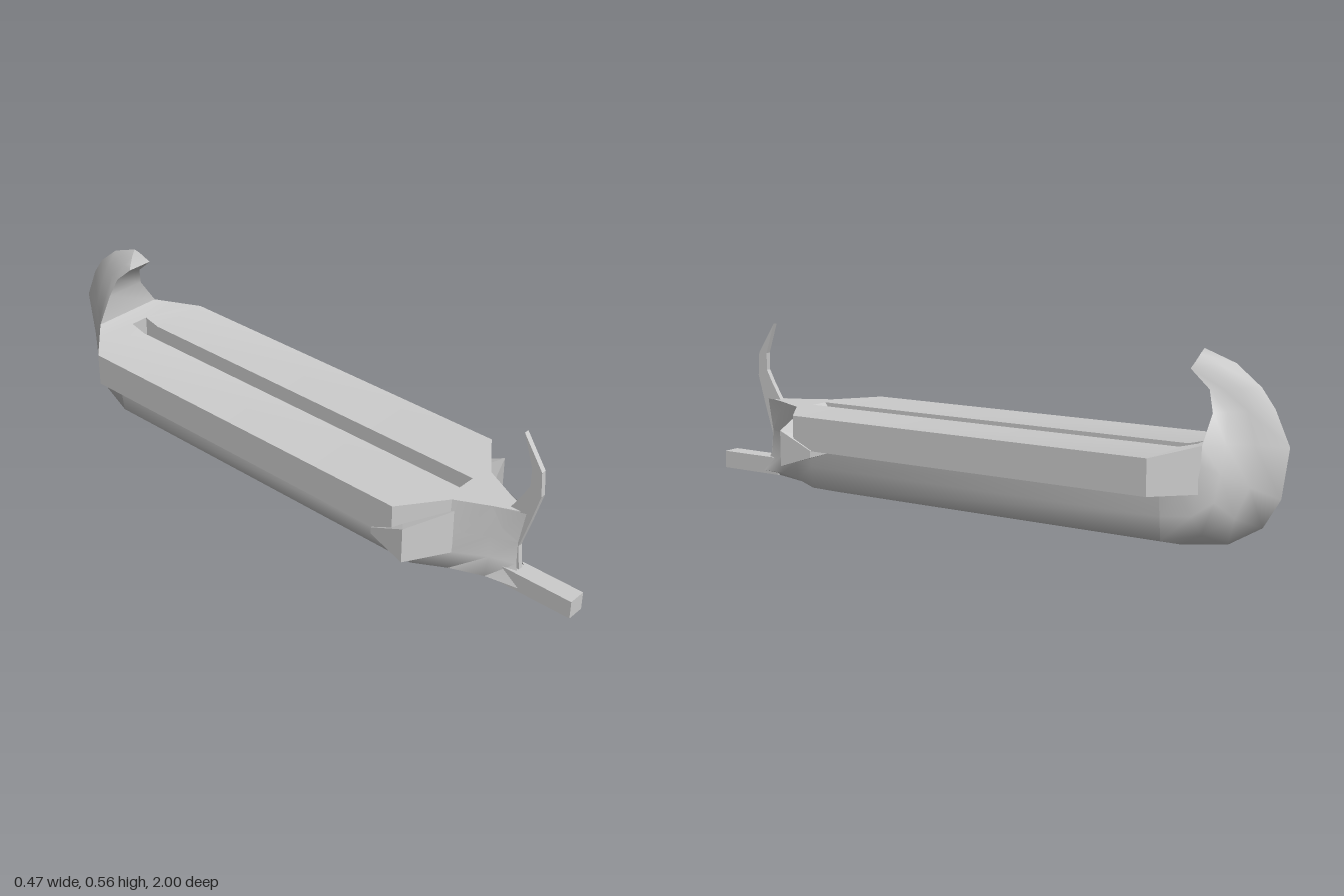
import * as THREE from 'three';
import { toCreasedNormals } from 'three/addons/utils/BufferGeometryUtils.js';
import { ConvexGeometry } from 'three/addons/geometries/ConvexGeometry.js';

const material = new THREE.MeshStandardMaterial({ color: 0xcccccc, side: THREE.DoubleSide });

// Skin between rows of [x, y, z] points; edges sharper than the crease angle stay hard
function loft(rows, crease) {
  const n = rows[0].length, index = [];
  for (let i = 0; i < rows.length - 1; i++) {
    for (let j = 0; j < n - 1; j++) {
      const a = i * n + j, b = a + 1, c = a + n, d = c + 1;
      index.push(a, b, c, b, d, c);
    }
  }
  const g = new THREE.BufferGeometry();
  g.setAttribute('position', new THREE.Float32BufferAttribute(rows.flat(2), 3));
  g.setIndex(index);
  return toCreasedNormals(g, crease);
}

// Half section from the +x edge to the keel, completed on the other side
const mirror = (half) => [
  ...half,
  ...half.slice(0, -1).reverse().map(([x, y, z]) => [-x, y, z]),
];

export function createModel() {
  const model = new THREE.Group();
  const add = (name, geometry) => {
    const mesh = new THREE.Mesh(geometry, material);
    mesh.name = name;
    model.add(mesh);
    return mesh;
  };

  // Hull from the hollow bow to the start of the stern
  const amid = (z) => [[0.15, 0.22, z], [0.15, 0.18, z], [0.143, 0.11, z], [0.135, 0.04, z], [0, 0, z]];
  add('hull', loft([
    [[0.008, 0.285, 0.82], [0.008, 0.18, 0.802], [0.012, 0.11, 0.805], [0.028, 0.045, 0.83], [0, 0.033, 0.83]],
    [[0.04, 0.285, 0.73], [0.036, 0.18, 0.73], [0.038, 0.11, 0.73], [0.052, 0.05, 0.73], [0, 0.022, 0.73]],
    [[0.09, 0.285, 0.63], [0.092, 0.18, 0.63], [0.097, 0.11, 0.63], [0.09, 0.048, 0.63], [0, 0.01, 0.63]],
    amid(0.53),
    amid(-0.69),
  ].map(mirror), 1.35));

  // Stern: sections swing up from the keel into the curled fin
  add('sternFin', loft([
    [[0.15, 0.18, -0.69], [0.143, 0.11, -0.69], [0.135, 0.04, -0.69], [0, 0, -0.69]],
    [[0.142, 0.18, -0.75], [0.132, 0.12, -0.78], [0.11, 0.065, -0.8], [0, 0.02, -0.83]],
    [[0.127, 0.2, -0.79], [0.11, 0.16, -0.835], [0.075, 0.115, -0.88], [0, 0.08, -0.93]],
    [[0.125, 0.26, -0.8], [0.095, 0.235, -0.845], [0.05, 0.2, -0.91], [0, 0.165, -0.98]],
    [[0.12, 0.313, -0.8], [0.075, 0.313, -0.85], [0.035, 0.312, -0.915], [0, 0.31, -1]],
    [[0.068, 0.395, -0.805], [0.048, 0.397, -0.84], [0.026, 0.402, -0.89], [0, 0.41, -0.955]],
    [[0.048, 0.455, -0.785], [0.038, 0.458, -0.82], [0.022, 0.46, -0.865], [0, 0.465, -0.915]],
    [[0.043, 0.507, -0.725], [0.036, 0.512, -0.76], [0.02, 0.52, -0.8], [0, 0.525, -0.84]],
    [[0.043, 0.507, -0.725], [0.03, 0.525, -0.733], [0.015, 0.545, -0.74], [0, 0.56, -0.745]],
  ].map(mirror), 2.4));

  // Forward face of the fin, and the flat end of its curl
  const finFace = [[0.12, 0.313, -0.8], [0.068, 0.395, -0.805], [0.048, 0.455, -0.785], [0.043, 0.507, -0.725]];
  add('finFace', loft(finFace.map(([x, y, z]) => [[-x, y, z], [x, y, z]]), 1));
  add('finTip', loft(
    [[0.043, 0.507, -0.725], [0.03, 0.525, -0.733], [0.015, 0.545, -0.74], [0, 0.56, -0.745]]
      .map(([x, y, z]) => [[-x, y, z], [x, y, z]]), 1));

  // Overhanging deck with a central trench: z, half width, top, trench floor
  const floor = 0.19;
  add('deck', loft([
    [0.8, 0.009, 0.285, 0.285],
    [0.73, 0.04, 0.285, 0.285],
    [0.63, 0.09, 0.285, 0.285],
    [0.61, 0.117, 0.285, 0.285],
    [0.53, 0.227, 0.285, floor],
    [-0.69, 0.227, 0.285, floor],
    [-0.745, 0.1735, 0.299, floor],
    [-0.7451, 0.1734, 0.299, 0.299],
    [-0.8, 0.12, 0.313, 0.313],
  ].map(([z, w, top, f]) => {
    const g = Math.min(0.03, w);
    return [[-w, 0.18], [-w, top], [-g, top], [-g, f], [g, f], [g, top], [w, top], [w, 0.18], [-w, 0.18]]
      .map(([x, y]) => [x, y, z]);
  }), 0.3));

  // Curved stem post, drawn in side profile (z, y)
  const post = new THREE.Shape([
    [0.77, 0.25], [0.768, 0.285], [0.8, 0.335], [0.824, 0.38], [0.824, 0.436], [0.791, 0.535],
    [0.856, 0.436], [0.861, 0.36], [0.834, 0.265], [0.804, 0.168], [0.813, 0.088], [0.78, 0.088],
  ].map(([z, y]) => new THREE.Vector2(z, y)));
  const postGeometry = new THREE.ExtrudeGeometry(post, { depth: 0.016, bevelEnabled: false });
  postGeometry.translate(0, 0, -0.008).rotateY(-Math.PI / 2);
  add('stemPost', postGeometry);

  // Ram
  const ram = add('ram', new THREE.BoxGeometry(0.057, 0.057, 0.23));
  ram.position.set(0, 0.063, 0.885);

  // Wedge-shaped blocks on both bows
  for (const [side, name] of [[1, 'leftBowBlock'], [-1, 'rightBowBlock']]) {
    add(name, new ConvexGeometry([
      [0.09, 0.108, 0.64], [0.09, 0.25, 0.64], [0.236, 0.122, 0.575], [0.236, 0.235, 0.575],
      [0.231, 0.16, 0.46], [0.231, 0.182, 0.46], [0.09, 0.16, 0.46], [0.09, 0.182, 0.46],
    ].map(([x, y, z]) => new THREE.Vector3(side * x, y, z))));
  }

  return model;
}
